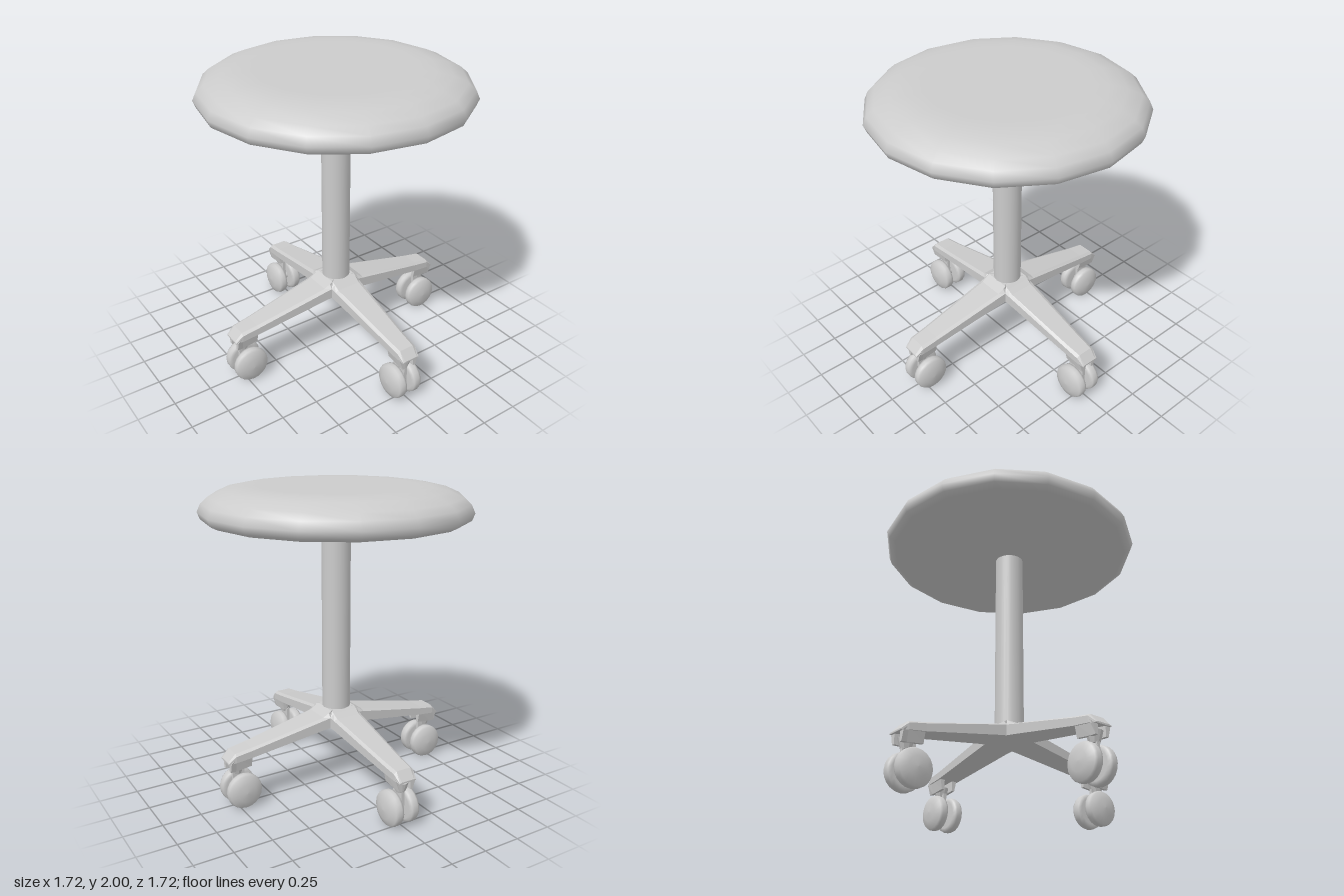
import * as THREE from 'three';

const smooth = new THREE.MeshStandardMaterial({ color: 0xcccccc, side: THREE.DoubleSide });
const flat = new THREE.MeshStandardMaterial({ color: 0xcccccc, flatShading: true, side: THREE.DoubleSide });

function add(parent, name, geometry, material, x = 0, y = 0, z = 0) {
  const mesh = new THREE.Mesh(geometry, material);
  mesh.name = name;
  mesh.position.set(x, y, z);
  parent.add(mesh);
  return mesh;
}

// Skin a row of closed cross-sections, each { x, pts: [[y, z], ...] }, along +x
function loft(rings) {
  const n = rings[0].pts.length;
  const pos = rings.flatMap(({ x, pts }) => pts.flatMap(([y, z]) => [x, y, z]));
  const idx = [];
  for (let k = 0; k < rings.length - 1; k++) {
    for (let i = 0; i < n; i++) {
      const j = (i + 1) % n, a = k * n + i, b = k * n + j;
      idx.push(a, b, b + n, a, b + n, a + n);
    }
  }
  const last = (rings.length - 1) * n;
  for (let i = 1; i < n - 1; i++) idx.push(0, i + 1, i, last, last + i, last + i + 1);
  const g = new THREE.BufferGeometry();
  g.setAttribute('position', new THREE.Float32BufferAttribute(pos, 3));
  g.setIndex(idx);
  const out = g.toNonIndexed();
  out.computeVertexNormals();
  return out;
}

const lathe = (points, sides) =>
  new THREE.LatheGeometry(points.map(([r, y]) => new THREE.Vector2(r, y)), sides);

// x, top height, top half width, shoulder height, shoulder half width, bottom height
const armSections = [
  [0, 0.54, 0, 0.52, 0, 0.45],
  [0.09, 0.54, 0.088, 0.515, 0.09, 0.434],
  [0.11, 0.527, 0.087, 0.5, 0.11, 0.43],
  [0.15, 0.503, 0.084, 0.492, 0.107, 0.425],
  [0.66, 0.403, 0.056, 0.39, 0.075, 0.342],
  [0.77, 0.386, 0.05, 0.372, 0.07, 0.33],
  [0.82, 0.332, 0.045, 0.328, 0.06, 0.322],
];

function makeCaster() {
  const caster = new THREE.Group();
  caster.name = 'caster';
  // Swivel neck and the fork plate between the wheels
  add(caster, 'swivelNeck', new THREE.CylinderGeometry(0.055, 0.03, 0.07, 8), flat, 0.745, 0.266);
  add(caster, 'forkPlate', new THREE.BoxGeometry(0.08, 0.16, 0.022), flat, 0.735, 0.18);
  const axle = add(caster, 'axle', new THREE.CylinderGeometry(0.03, 0.03, 0.06, 10), smooth, 0.72, 0.12);
  axle.rotation.x = Math.PI / 2;
  // Pair of domed wheels
  const profile = [[0, 0.022], [0.09, 0.022], [0.112, 0.03], [0.116, 0.045],
    [0.116, 0.07], [0.108, 0.085], [0.06, 0.105], [0, 0.109]];
  for (const s of [-1, 1]) {
    const wheel = add(caster, 'wheel', lathe(profile, 20), smooth, 0.72, 0.12);
    wheel.rotation.x = s * Math.PI / 2;
  }
  return caster;
}

function makeLeg() {
  const leg = new THREE.Group();
  leg.name = 'leg';
  // Tapered arm, mitred against its neighbours at the hub
  add(leg, 'arm', loft(armSections.map(([x, yT, hT, yE, hE, yB]) => ({
    x, pts: [[yT, -hT], [yT, hT], [yE, hE], [yB, hE], [yB, -hE], [yE, -hE]],
  }))), flat);
  // Two cheeks holding the caster under the arm tip
  for (const s of [-1, 1]) {
    const ring = (x, yT, yB) => {
      const pts = [[yT, 0.03], [yT, 0.068], [yB, 0.05], [yB, 0.03]].map(([y, z]) => [y, s * z]);
      return { x, pts: s > 0 ? pts : pts.reverse() };
    };
    add(leg, 'casterCheek', loft([ring(0.66, 0.36, 0.275), ring(0.77, 0.36, 0.262), ring(0.805, 0.328, 0.262)]), flat);
  }
  leg.add(makeCaster());
  return leg;
}

export function createModel() {
  const model = new THREE.Group();
  model.name = 'stool';

  // Padded round seat
  add(model, 'seat', lathe([[0, 1.76], [0.5, 1.76], [0.66, 1.762], [0.8, 1.785], [0.84, 1.805],
    [0.858, 1.85], [0.835, 1.9], [0.79, 1.94], [0.7, 1.98], [0.6, 1.998], [0.5, 2], [0, 2]], 16), smooth);

  // Central column
  add(model, 'column', new THREE.CylinderGeometry(0.093, 0.093, 1.28, 24), smooth, 0, 1.14);

  // Four legs with casters
  for (let i = 0; i < 4; i++) {
    const leg = makeLeg();
    leg.rotation.y = i * Math.PI / 2;
    model.add(leg);
  }
  return model;
}
